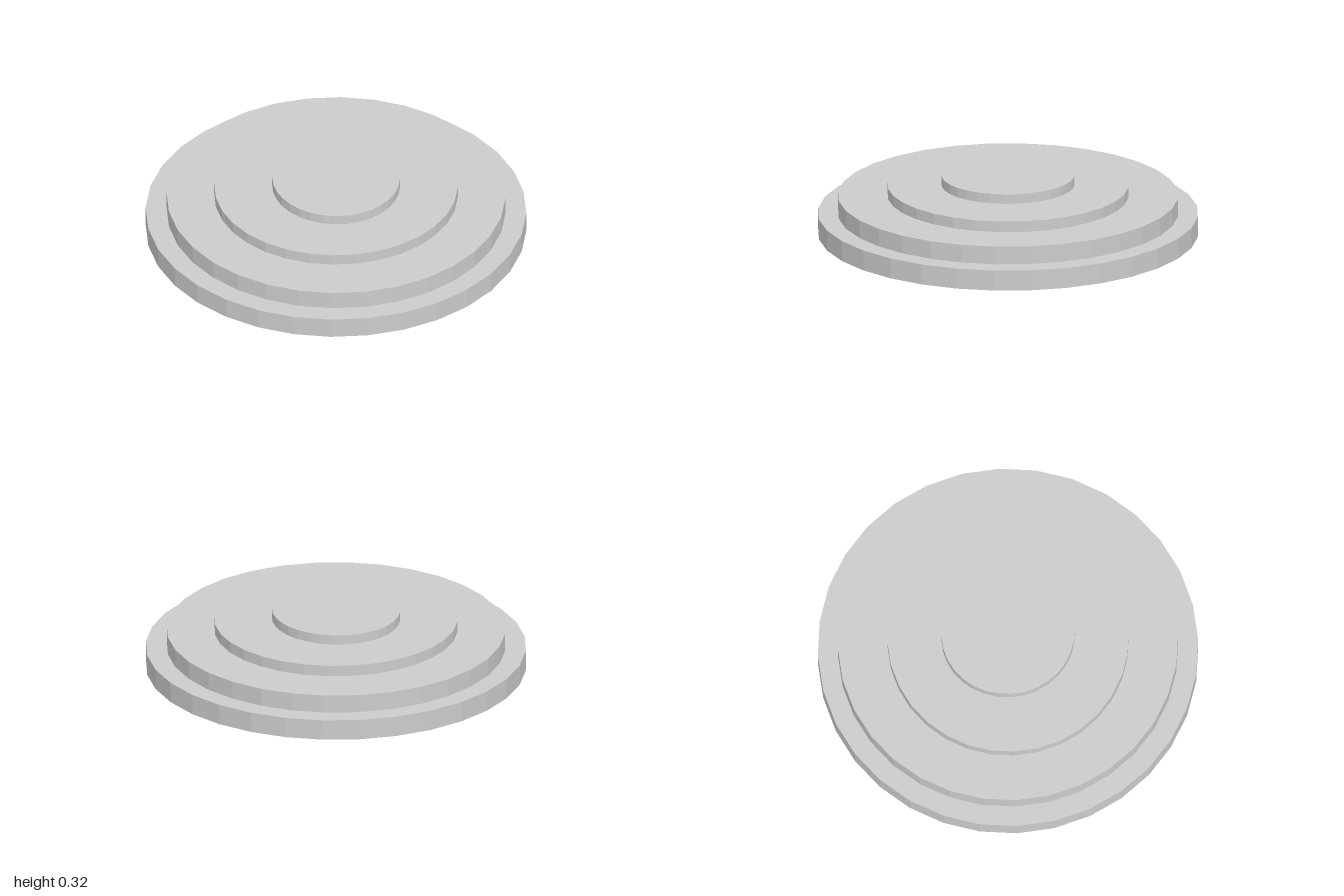
import * as THREE from 'three';

// Stepped round plinth: four stacked, flat-sided discs
export function createModel() {
  const group = new THREE.Group();
  group.name = 'steppedPlinth';
  const material = new THREE.MeshStandardMaterial({ color: 0xcccccc, flatShading: true });

  // name, x radius, z radius, bottom, top
  const tiers = [
    ['baseTier', 1, 1, 0, 0.11],
    ['secondTier', 0.89, 0.895, 0.11, 0.207],
    ['thirdTier', 0.64, 0.634, 0.207, 0.266],
    ['topTier', 0.335, 0.35, 0.266, 0.318],
  ];
  for (const [name, rx, rz, bottom, top] of tiers) {
    const geometry = new THREE.CylinderGeometry(1, 1, top - bottom, 32);
    geometry.scale(rx, 1, rz);
    const mesh = new THREE.Mesh(geometry, material);
    mesh.name = name;
    mesh.position.y = (bottom + top) / 2;
    group.add(mesh);
  }
  return group;
}
